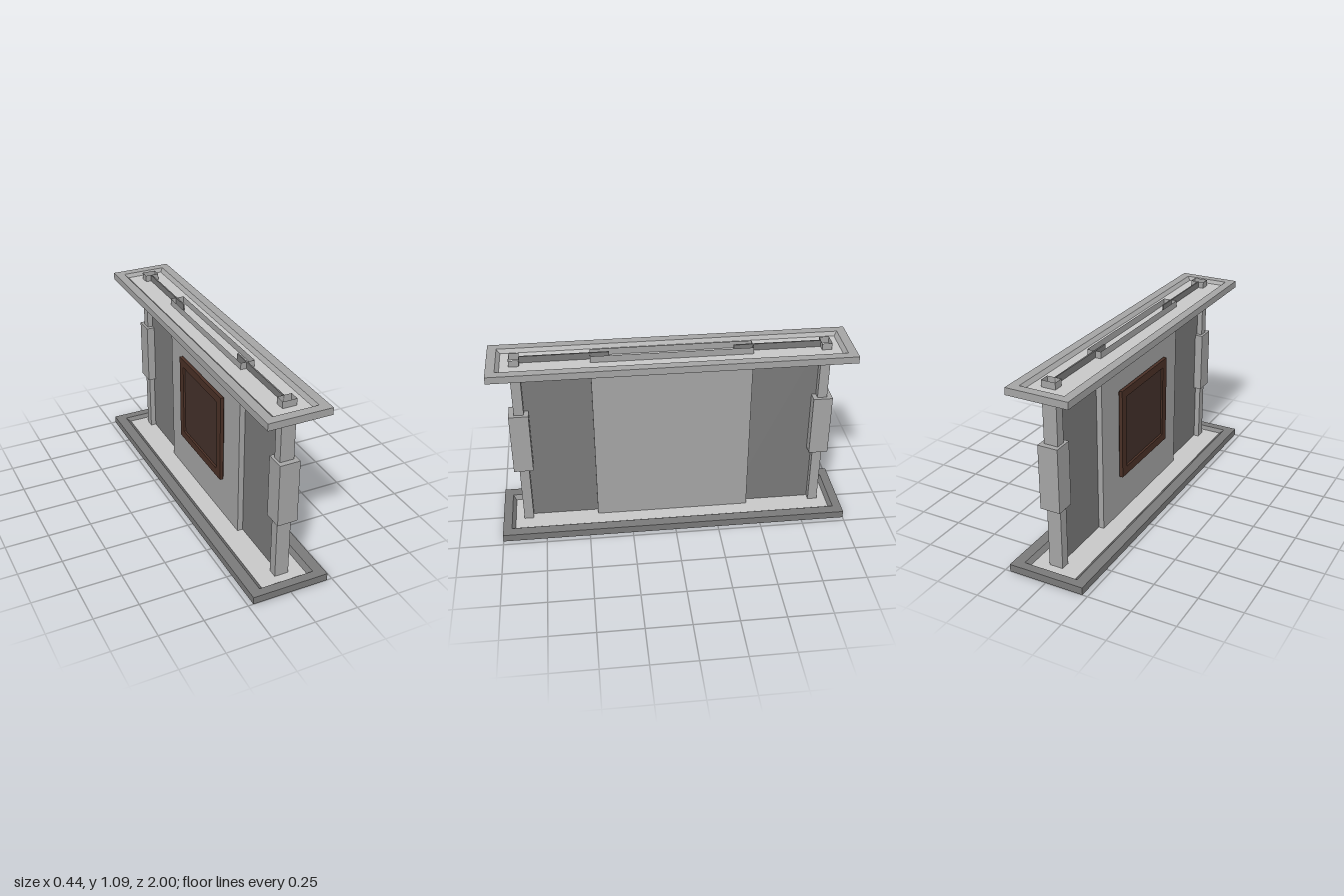
import * as THREE from 'three';

const paint = (name, color, side = THREE.FrontSide) => {
  const m = new THREE.MeshStandardMaterial({ color, side });
  m.name = name;
  return m;
};

// Loft rectangular rings [halfX, halfZ, y] into a flat-shaded frame
function loft(rings) {
  const corners = [[-1, 1], [1, 1], [1, -1], [-1, -1]];
  const pos = [];
  const point = ([w, d, y], k) => [corners[k % 4][0] * w, y, corners[k % 4][1] * d];
  for (let i = 0; i < rings.length - 1; i++) {
    for (let k = 0; k < 4; k++) {
      const a = point(rings[i], k), b = point(rings[i], k + 1);
      const c = point(rings[i + 1], k + 1), d = point(rings[i + 1], k);
      pos.push(...a, ...b, ...c, ...a, ...c, ...d);
    }
  }
  const g = new THREE.BufferGeometry();
  g.setAttribute('position', new THREE.Float32BufferAttribute(pos, 3));
  g.computeVertexNormals();
  return g;
}

export function createModel() {
  const model = new THREE.Group();
  const grey = paint('mid grey', 0xa5a5a5, THREE.DoubleSide);
  const dark = paint('dark grey', 0x7a7a7a);
  const light = paint('light grey', 0xc8c8c8);
  const brown = paint('brown', 0x4a3026);
  const deepBrown = paint('deep brown', 0x43312a);

  const add = (parent, name, geometry, material, x = 0, y = 0, z = 0) => {
    const mesh = new THREE.Mesh(geometry, material);
    mesh.name = name;
    mesh.position.set(x, y, z);
    parent.add(mesh);
    return mesh;
  };
  // Box given by its extents
  const box = (name, mat, x0, x1, y0, y1, z0, z1) =>
    add(model, name, new THREE.BoxGeometry(x1 - x0, y1 - y0, z1 - z0), mat,
      (x0 + x1) / 2, (y0 + y1) / 2, (z0 + z1) / 2);
  // Hollow rectangular tube without caps
  const tube = (name, mat, x0, x1, y0, y1, z0, z1) => {
    const x = (x1 - x0) / 2, y = (y1 - y0) / 2, z = (z1 - z0) / 2;
    add(model, name, loft([[x, z, -y], [x, z, y]]), mat,
      (x0 + x1) / 2, (y0 + y1) / 2, (z0 + z1) / 2);
  };

  // Base and top trays: bevelled rims around a recessed sheet
  const tray = (name, mat, x, halfX, y0, y1, border, bevel) => {
    const w = halfX - border, mid = (y0 + y1) / 2;
    add(model, name + 'Rim', loft([
      [halfX, 1, y0], [halfX, 1, y1], [w, 0.95, y1], [w - bevel, 0.93, mid],
      [w, 0.95, y0], [halfX, 1, y0],
    ]), mat, x);
    box(name + 'Sheet', light, x - w + bevel, x + w - bevel, mid - 0.002, mid + 0.002, -0.93, 0.93);
  };
  tray('base', dark, 0, 0.22, 0, 0.043, 0.06, 0.025);
  tray('top', grey, 0.003, 0.177, 1.03, 1.07, 0.05, 0.02);

  // Thick middle wall, thin side walls and end posts with blocks
  const y0 = 0.016, y1 = 1.09;
  tube('middleWall', grey, -0.03, 0.05, y0, y1, -0.445, 0.445);
  for (const [side, s] of [['front', 1], ['back', -1]]) {
    const span = (a, b) => (s > 0 ? [a, b] : [-b, -a]);
    box(side + 'ThinWall', dark, 0.002, 0.01, y0, y1, ...span(0.34, 0.825));
    tube(side + 'Post', grey, -0.03, 0.05, y0, y1, ...span(0.825, 0.88));
    box(side + 'PostBlock', grey, -0.045, 0.07, 0.38, 0.745, ...span(0.8, 0.91));
  }

  // Framed panel on the right face of the middle wall
  const picture = new THREE.Group();
  picture.name = 'framedPanel';
  add(picture, 'panelFrame', loft([
    [0.255, 0.26, 0.03], [0.255, 0.26, 0.037], [0.265, 0.27, 0.037],
    [0.265, 0.27, 0.057], [0.217, 0.222, 0.057], [0.21, 0.215, 0.049],
  ]), brown);
  add(picture, 'panelFace', new THREE.BoxGeometry(0.42, 0.004, 0.43), deepBrown, 0, 0.047);
  // Underside of the frame overhang is part of the loft; turn it to face -x
  picture.rotation.z = Math.PI / 2;
  picture.position.y = 0.535;
  model.add(picture);

  return model;
}
